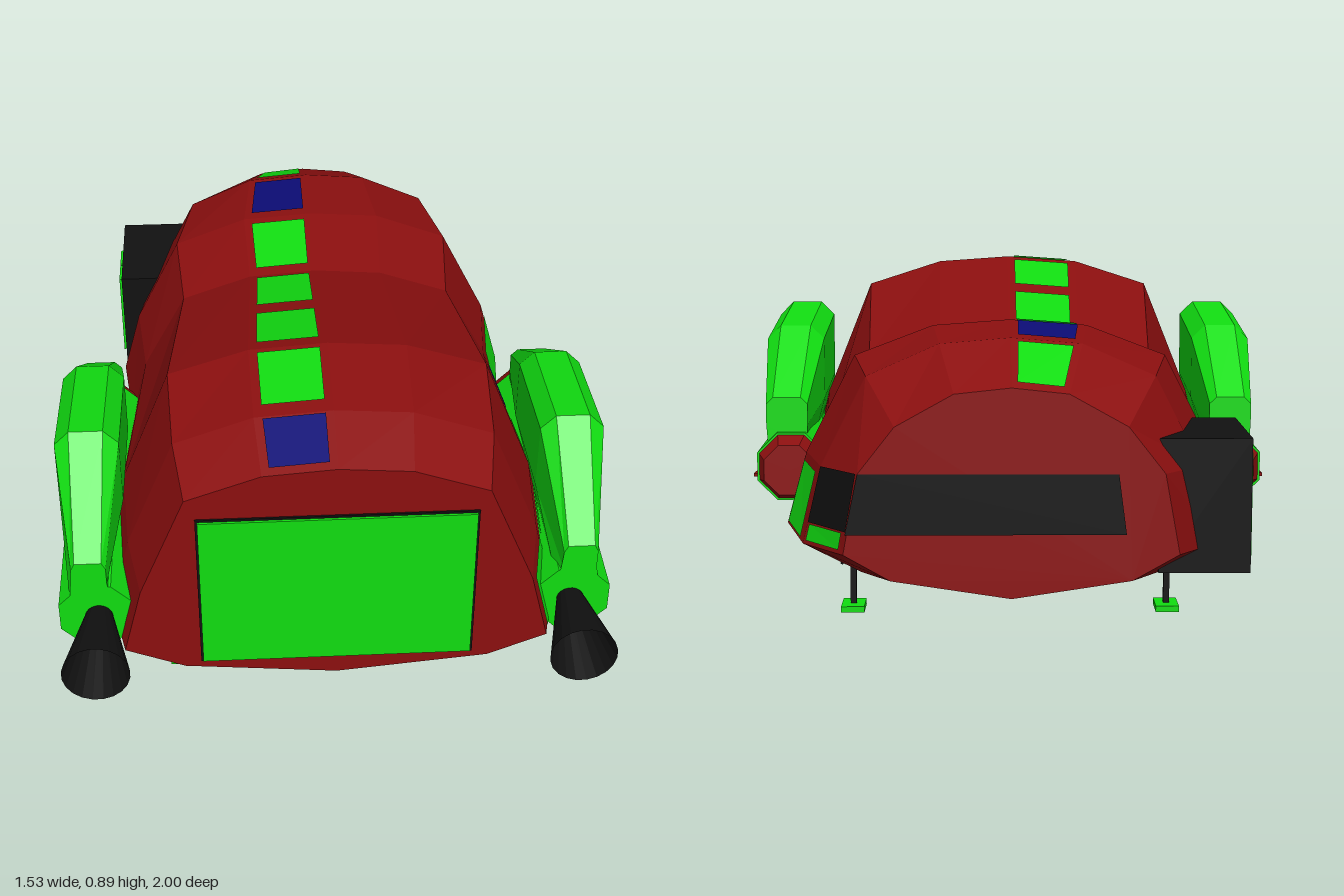
import * as THREE from 'three';

const mat = (color) => new THREE.MeshStandardMaterial({ color, flatShading: true, side: THREE.DoubleSide });
const RED = mat(0x8c0f0f), GREEN = mat(0x11dd11), BLUE = mat(0x0c0c77), BLACK = mat(0x111111);

// Hull stations, front to back: z, max half width, top y, shoulder y, rib y, chine y, lower edge y, keel y
const STATIONS = [
  [0.83, 0.56, 0.81, 0.725, 0.43, 0.23, 0.165, 0.125],
  [0.65, 0.60, 0.86, 0.77, 0.45, 0.23, 0.14, 0.10],
  [0.38, 0.62, 0.885, 0.80, 0.46, 0.23, 0.12, 0.07],
  [-0.23, 0.57, 0.735, 0.65, 0.42, 0.23, 0.12, 0.075],
  [-0.50, 0.60, 0.775, 0.68, 0.42, 0.225, 0.13, 0.09],
  [-0.78, 0.53, 0.757, 0.66, 0.43, 0.23, 0.155, 0.11],
  [-1.0, 0.41, 0.66, 0.565, 0.45, 0.25, 0.185, 0.14],
];

// Half cross-section from the roof centre round to the keel
function halfSection([z, w, top, shoulder, rib, chine, low, keel]) {
  return [
    [0, top], [0.34 * w, top - 0.015], [0.69 * w, shoulder], [0.91 * w, rib],
    [w, chine], [0.72 * w, low], [0, keel],
  ].map(([x, y]) => new THREE.Vector3(x, y, z));
}
const HALVES = STATIONS.map(halfSection);
const mirror = (p) => new THREE.Vector3(-p.x, p.y, p.z);

function trianglesMesh(name, points, material) {
  const g = new THREE.BufferGeometry().setFromPoints(points);
  g.computeVertexNormals();
  const m = new THREE.Mesh(g, material);
  m.name = name;
  return m;
}

// Skin a list of sections; optionally close each ring and cap the ends
function loft(name, rings, material, closed = false) {
  const pts = [], n = rings[0].length;
  for (let i = 0; i < rings.length - 1; i++) {
    for (let j = 0; j < (closed ? n : n - 1); j++) {
      const k = (j + 1) % n, a = rings[i][j], b = rings[i][k], c = rings[i + 1][k], d = rings[i + 1][j];
      pts.push(a, b, c, a, c, d);
    }
  }
  if (closed) {
    const first = rings[0], last = rings[rings.length - 1];
    for (let j = 1; j < n - 1; j++) {
      pts.push(first[0], first[j + 1], first[j], last[0], last[j], last[j + 1]);
    }
  }
  return trianglesMesh(name, pts, material);
}

function quad(name, p, material) {
  return trianglesMesh(name, [p[0], p[1], p[2], p[0], p[2], p[3]], material);
}

function box(name, size, pos, material) {
  const m = new THREE.Mesh(new THREE.BoxGeometry(...size), material);
  m.position.set(...pos);
  m.name = name;
  return m;
}

// Cylinder lying along z
function tube(name, rFront, rBack, z0, z1, x, y, material, sides, open = false) {
  const g = new THREE.CylinderGeometry(rFront, rBack, z0 - z1, sides, 1, open);
  g.rotateY(Math.PI / sides).rotateX(Math.PI / 2);
  const m = new THREE.Mesh(g, material);
  m.position.set(x, y, (z0 + z1) / 2);
  m.name = name;
  return m;
}

// Point on hull strip seg at depth z, t across the strip
function hullPoint(z, seg, t, s) {
  let i = 0;
  while (i < STATIONS.length - 2 && z < STATIONS[i + 1][0]) i++;
  const f = (STATIONS[i][0] - z) / (STATIONS[i][0] - STATIONS[i + 1][0]);
  const at = (h) => h[seg].clone().lerp(h[seg + 1], t);
  const p = at(HALVES[i]).lerp(at(HALVES[i + 1]), f);
  p.x *= s;
  return p;
}

// Thin plate lying just off the hull
function hullPanel(name, z0, z1, seg, t0, t1, s, material) {
  const p = [[z0, t0], [z0, t1], [z1, t1], [z1, t0]].map(([z, t]) => hullPoint(z, seg, t, s));
  if (s < 0) p.reverse();
  const n = p[2].clone().sub(p[0]).cross(p[3].clone().sub(p[1])).normalize().multiplyScalar(0.005);
  n.z = 0;
  return quad(name, p.map((v) => v.add(n)), material);
}

function engine(s) {
  const g = new THREE.Group(), x = 0.63 * s;
  g.name = s > 0 ? 'leftEngine' : 'rightEngine';
  g.add(tube('engineBody', 0.107, 0.107, 0.78, -0.13, x, 0.31, GREEN, 8));
  g.add(tube('engineIntake', 0.1, 0.078, -0.13, -0.19, x, 0.31, RED, 8));
  g.add(tube('exhaustNozzle', 0.088, 0.035, 1.0, 0.775, 0.625 * s, 0.31, BLACK, 20, true));
  g.add(tube('nozzleCore', 0.03, 0.03, 0.8, 0.77, 0.625 * s, 0.31, BLACK, 16));
  // Faceted fairing above the engine: z, low y, waist y, shoulder y, top y, half width, top half width
  const rings = [
    [0.78, 0.36, 0.42, 0.47, 0.49, 0.045, 0.035],
    [0.53, 0.36, 0.50, 0.69, 0.73, 0.085, 0.045],
    [0.17, 0.36, 0.47, 0.65, 0.69, 0.085, 0.045],
    [-0.11, 0.36, 0.43, 0.49, 0.51, 0.06, 0.04],
  ].map(([z, low, waist, sh, top, w, tw]) => [
    [-0.055, low], [-w, waist], [-w, sh], [-tw, top], [tw, top], [w, sh], [w, waist], [0.055, low],
  ].map(([dx, y]) => new THREE.Vector3(0.643 * s + dx, y, z)));
  g.add(loft('engineFairing', rings, GREEN, true));
  // Small swept fin on the lower outer side
  const fin = [[0.70, 0.04], [0.765, 0.06], [0.735, 0.42], [0.70, 0.45]];
  const layer = (y) => fin.map(([fx, z]) => new THREE.Vector3(fx * s, y, z));
  g.add(loft('engineFin', [layer(0.245), layer(0.255)], RED, true));
  return g;
}

function landingLeg(x, z) {
  const g = new THREE.Group();
  g.name = 'landingLeg';
  g.add(box('foot', [0.062, 0.016, 0.09], [x, 0.008, z], GREEN));
  g.add(box('strut', [0.016, 0.14, 0.016], [x, 0.08, z], BLACK));
  const ring = new THREE.Mesh(new THREE.TorusGeometry(0.03, 0.005, 4, 10, Math.PI * 1.4), BLACK);
  ring.rotation.x = Math.PI / 2;
  ring.position.set(x, 0.125, z);
  ring.name = 'strutCollar';
  g.add(ring);
  return g;
}

function bellyPod(s) {
  const rings = [
    [0.66, 0.11, 0.02], [0.45, 0.055, 0.038], [-0.33, 0.055, 0.038], [-0.6, 0.11, 0.02],
  ].map(([z, y, w]) => [[-w - 0.026, 0.15], [w + 0.026, 0.15], [w + 0.026, y + 0.035], [w, y], [-w, y], [-w - 0.026, y + 0.035]]
    .map(([dx, py]) => new THREE.Vector3(0.29 * s + dx, py, z)));
  return loft('bellyPod', rings, GREEN, true);
}

export function createModel() {
  const model = new THREE.Group();

  // Hull skin, belly and end walls
  const upper = HALVES.map((h) => [...h.slice(1, 6).reverse().map(mirror), ...h.slice(0, 6)]);
  model.add(loft('hull', upper, RED));
  model.add(loft('belly', HALVES.map((h) => [h[5], h[6], mirror(h[5])]), GREEN));
  [0, HALVES.length - 1].forEach((i) => {
    const ring = [...upper[i], HALVES[i][6]], pts = [];
    for (let j = 1; j < ring.length - 1; j++) {
      pts.push(ring[0], ...(i === 0 ? [ring[j + 1], ring[j]] : [ring[j], ring[j + 1]]));
    }
    model.add(trianglesMesh(i === 0 ? 'frontWall' : 'backWall', pts, RED));
  });

  // Cargo door
  model.add(box('cargoDoorFrame', [0.722, 0.482, 0.01], [0, 0.425, 0.83], BLACK));
  model.add(box('cargoDoor', [0.71, 0.47, 0.02], [0, 0.425, 0.832], GREEN));

  // Plates along the roof, the left flank and the right lower edge
  const spans = [[0.81, 0.66], [0.61, 0.4], [0.34, 0.11], [0.04, -0.2], [-0.26, -0.47], [-0.53, -0.75], [-0.8, -0.98]];
  spans.forEach(([z0, z1], i) => {
    model.add(hullPanel('roofPlate', z0, z1, 0, 0.1, 0.89, -1, i === 0 || i === 5 ? BLUE : GREEN));
    model.add(hullPanel('flankPlate', z0, z1, 3, i === 6 ? 0.74 : 0.1, 0.95, 1, i === 3 ? BLUE : GREEN));
    if (i < 4) model.add(hullPanel('lowerPlate', z0, z1, 4, 0.1, 0.9, -1, i === 3 ? BLUE : GREEN));
  });

  // Cockpit window wrapping round the left back corner
  const pane = [[0.373, 0.45], [0.405, 0.3], [-0.28, 0.3], [-0.26, 0.45]];
  model.add(quad('cockpitWindow', pane.map(([x, y]) => new THREE.Vector3(x, y, -1.003)), BLACK));
  model.add(hullPanel('cockpitSideWindow', -0.79, -1.0, 3, 0.0, 0.72, 1, BLACK));

  // Boarding hatch on the right side
  model.add(box('hatchHousing', [0.23, 0.34, 0.34], [-0.482, 0.35, -0.73], BLACK));
  [-0.777, -0.683].forEach((z) => {
    model.add(box('hatchDoor', [0.015, 0.27, 0.085], [-0.602, 0.335, z], GREEN));
  });

  // Mirrored parts
  [1, -1].forEach((s) => {
    model.add(engine(s), bellyPod(s), landingLeg(0.42 * s, 0.605), landingLeg(0.42 * s, -0.555));
  });
  return model;
}
